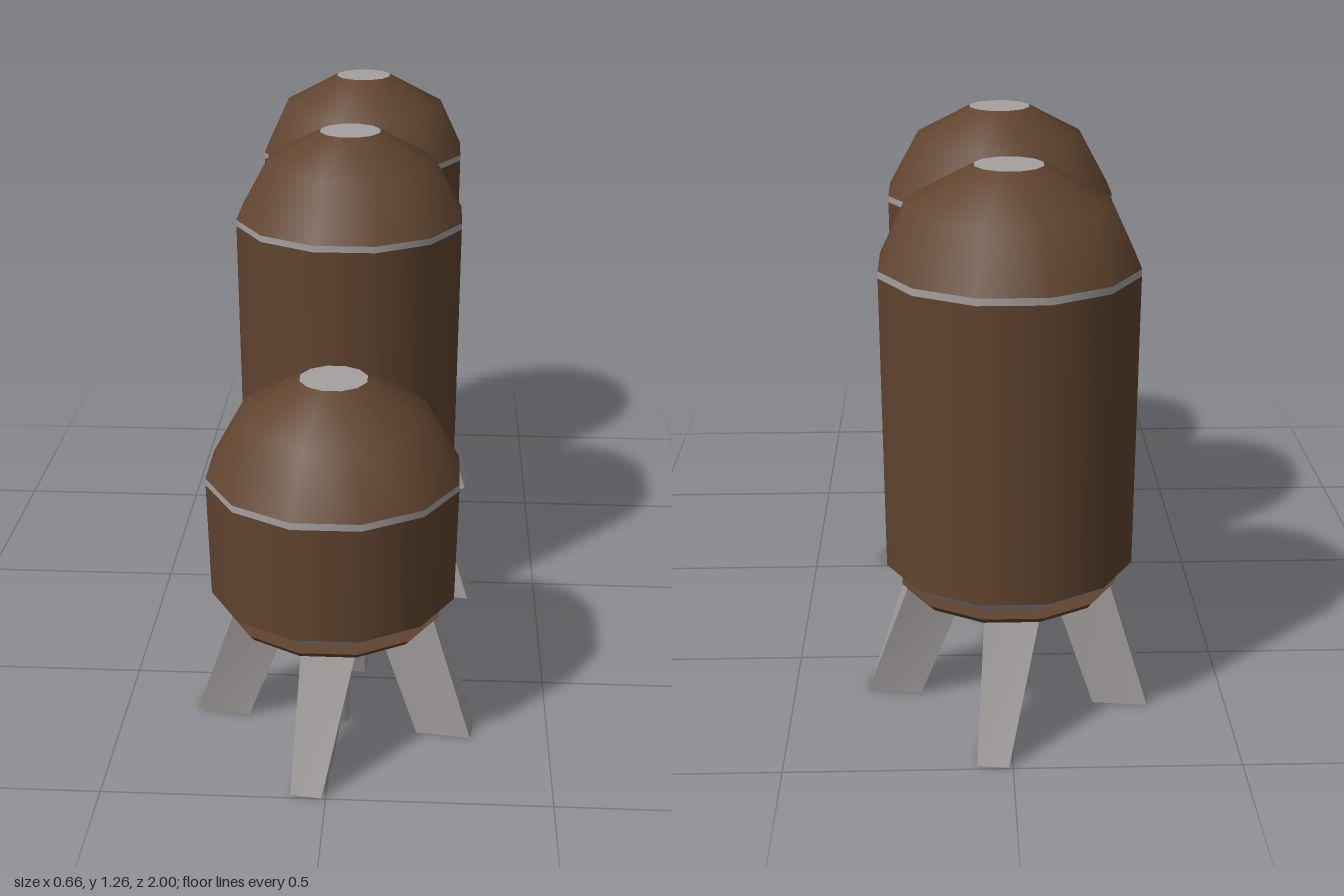
import * as THREE from 'three';

const SIDES = 12;
const brown = new THREE.MeshStandardMaterial({ name: 'brownPaint', color: 0x60442f });
const grey = new THREE.MeshStandardMaterial({ name: 'greyMetal', color: 0xa5a1a0, side: THREE.DoubleSide });

// Twelve-sided turned part with a flat side facing the front
function turned(name, profile, material) {
  const points = profile.map(([r, y]) => new THREE.Vector2(r, y));
  const mesh = new THREE.Mesh(new THREE.LatheGeometry(points, SIDES, Math.PI / SIDES), material);
  mesh.name = name;
  return mesh;
}

// Splayed leg: wide at the top, narrower and slightly twisted at the open foot
function legGeometry() {
  const geo = new THREE.BoxGeometry(1, 1, 1);
  const pos = geo.attributes.position;
  const twist = 0.135;
  for (let i = 0; i < pos.count; i++) {
    const x = pos.getX(i), z = pos.getZ(i);
    if (pos.getY(i) > 0) {
      pos.setXYZ(i, x * 0.12, 0.305, 0.16 + z * 0.135);
    } else {
      const px = x * 0.07, pz = 0.264 + z * 0.126;
      pos.setXYZ(i, px * Math.cos(twist) - pz * Math.sin(twist), 0,
        px * Math.sin(twist) + pz * Math.cos(twist));
    }
  }
  // Leave out the foot face so the leg is a hollow channel
  const index = Array.from(geo.index.array);
  index.splice(18, 6);
  geo.setIndex(index);
  geo.clearGroups();
  geo.computeVertexNormals();
  return geo;
}

function makeTank(name, z, bandY, shoulderR, shoulderY, topY) {
  const tank = new THREE.Group();
  tank.name = name;
  tank.position.z = z;

  // Base plate and tapered skirt
  tank.add(turned('basePlateUnderside', [[0, 0.3], [0.238, 0.3]], brown));
  tank.add(turned('basePlateRim', [[0.238, 0.3], [0.25, 0.314]], brown));
  tank.add(turned('basePlateTop', [[0.25, 0.314], [0, 0.314]], brown));
  tank.add(turned('skirt', [[0.207, 0.314], [0.284, 0.365]], grey));

  // Wall, band and dome
  tank.add(turned('wall', [[0.284, 0.365], [0.29, bandY]], brown));
  tank.add(turned('band', [[0.29, bandY], [0.29, bandY + 0.016]], grey));
  tank.add(turned('dome', [[0.29, bandY + 0.016], [shoulderR, shoulderY], [0.077, topY]], brown));
  tank.add(turned('domeCap', [[0.077, topY], [0, topY]], grey));

  // Centre pipe
  const pipe = new THREE.Mesh(new THREE.CylinderGeometry(0.036, 0.036, 0.302, 16, 1, true), grey);
  pipe.name = 'centrePipe';
  pipe.position.y = 0.151;
  tank.add(pipe);

  // Four legs
  const geo = legGeometry();
  for (let k = 0; k < 4; k++) {
    const leg = new THREE.Mesh(geo, grey);
    leg.name = 'leg' + (k + 1);
    leg.rotation.y = k * Math.PI / 2;
    tank.add(leg);
  }
  return tank;
}

export function createModel() {
  const model = new THREE.Group();
  model.name = 'storageTanks';
  model.add(makeTank('shortTank', 0.67, 0.634, 0.212, 0.79, 0.865));
  model.add(makeTank('middleTank', 0.014, 1.034, 0.212, 1.19, 1.262));
  model.add(makeTank('rearTank', -0.668, 1.034, 0.228, 1.18, 1.262));
  return model;
}
